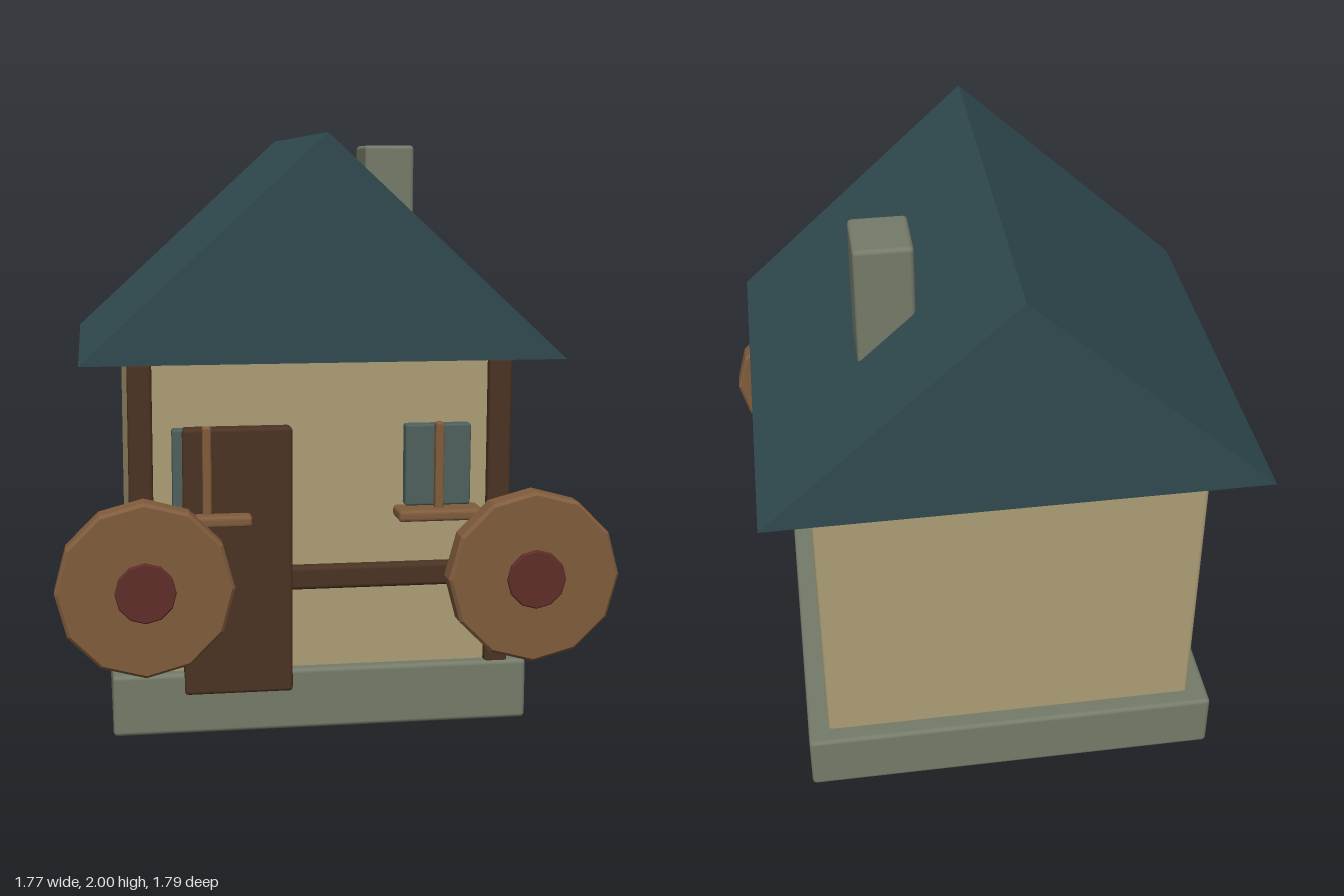
import * as THREE from 'three';
import { RoundedBoxGeometry } from 'three/addons/geometries/RoundedBoxGeometry.js';

function material(name, color, flatShading = false) {
  const m = new THREE.MeshStandardMaterial({ color, flatShading });
  m.name = name;
  return m;
}

export function createModel() {
  const group = new THREE.Group();
  group.name = 'cottage';

  const plaster = material('plaster', 0xac9e75);
  const stone = material('stone', 0x757b69);
  const slate = material('slate', 0x304a50, true);
  const darkWood = material('darkWood', 0x4b3323);
  const lightWood = material('lightWood', 0x805c3c, true);
  const glass = material('glass', 0x4f615d);
  const hubRed = material('hubRed', 0x5e2d27, true);

  const add = (name, geometry, mat) => {
    const mesh = new THREE.Mesh(geometry, mat);
    mesh.name = name;
    group.add(mesh);
    return mesh;
  };

  // Softly bevelled box given by its limits on each axis
  const block = (name, [x0, x1], [y0, y1], [z0, z1], bevel, mat) => {
    const geo = new RoundedBoxGeometry(x1 - x0, y1 - y0, z1 - z0, 2, bevel);
    add(name, geo, mat).position.set((x0 + x1) / 2, (y0 + y1) / 2, (z0 + z1) / 2);
  };

  // Twelve-sided disc with chamfered rims, facing +z
  const disc = (name, x, y, [z0, z1], r, bevel, mat) => {
    const h = (z1 - z0) / 2;
    const profile = [[0, -h], [r - bevel, -h], [r, bevel - h], [r, h - bevel], [r - bevel, h], [0, h]]
      .map(([a, b]) => new THREE.Vector2(a, b));
    const mesh = add(name, new THREE.LatheGeometry(profile, 12), mat);
    mesh.rotation.x = Math.PI / 2;
    mesh.position.set(x, y, (z0 + z1) / 2);
  };

  // House body
  block('foundation', [-0.71, 0.71], [0, 0.21], [-0.8, 0.45], 0.015, stone);
  block('walls', [-0.64, 0.64], [0.18, 1.265], [-0.74, 0.41], 0.015, plaster);
  block('chimney', [0.27, 0.455], [1.4, 1.975], [-0.51, -0.3], 0.015, stone);

  // Gable roof
  const gable = new THREE.Shape([[-0.8, 1.265], [0.8, 1.265], [0, 2]].map(([x, y]) => new THREE.Vector2(x, y)));
  const roof = new THREE.ExtrudeGeometry(gable, { depth: 1.433, bevelEnabled: false });
  add('roof', roof, slate).position.z = -0.895;

  // Front timber and door
  block('crossBeam', [-0.645, 0.645], [0.485, 0.565], [0.392, 0.449], 0.015, darkWood);
  block('door', [-0.47, -0.105], [0.14, 1.045], [0.4, 0.468], 0.012, darkWood);

  // Mirrored parts: posts, windows and wheels
  for (const [side, s] of [['left', 1], ['right', -1]]) {
    const span = (a, b) => (s > 0 ? [a, b] : [-b, -a]);
    block(side + 'Post', span(0.565, 0.645), [0.18, 1.26], [0.387, 0.441], 0.012, darkWood);
    block(side + 'Window', span(0.278, 0.502), [0.765, 1.042], [0.4, 0.453], 0.008, glass);
    block(side + 'Mullion', span(0.375, 0.405), [0.75, 1.052], [0.445, 0.48], 0.008, lightWood);
    block(side + 'Sill', span(0.245, 0.535), [0.724, 0.762], [0.4, 0.523], 0.012, lightWood);
    disc(side + 'Wheel', s * 0.61, 0.614, [0.784, 0.869], 0.275, 0.01, lightWood);
    disc(side + 'Hub', s * 0.61, 0.614, [0.877, 0.895], 0.094, 0.004, hubRed);
  }

  return group;
}
